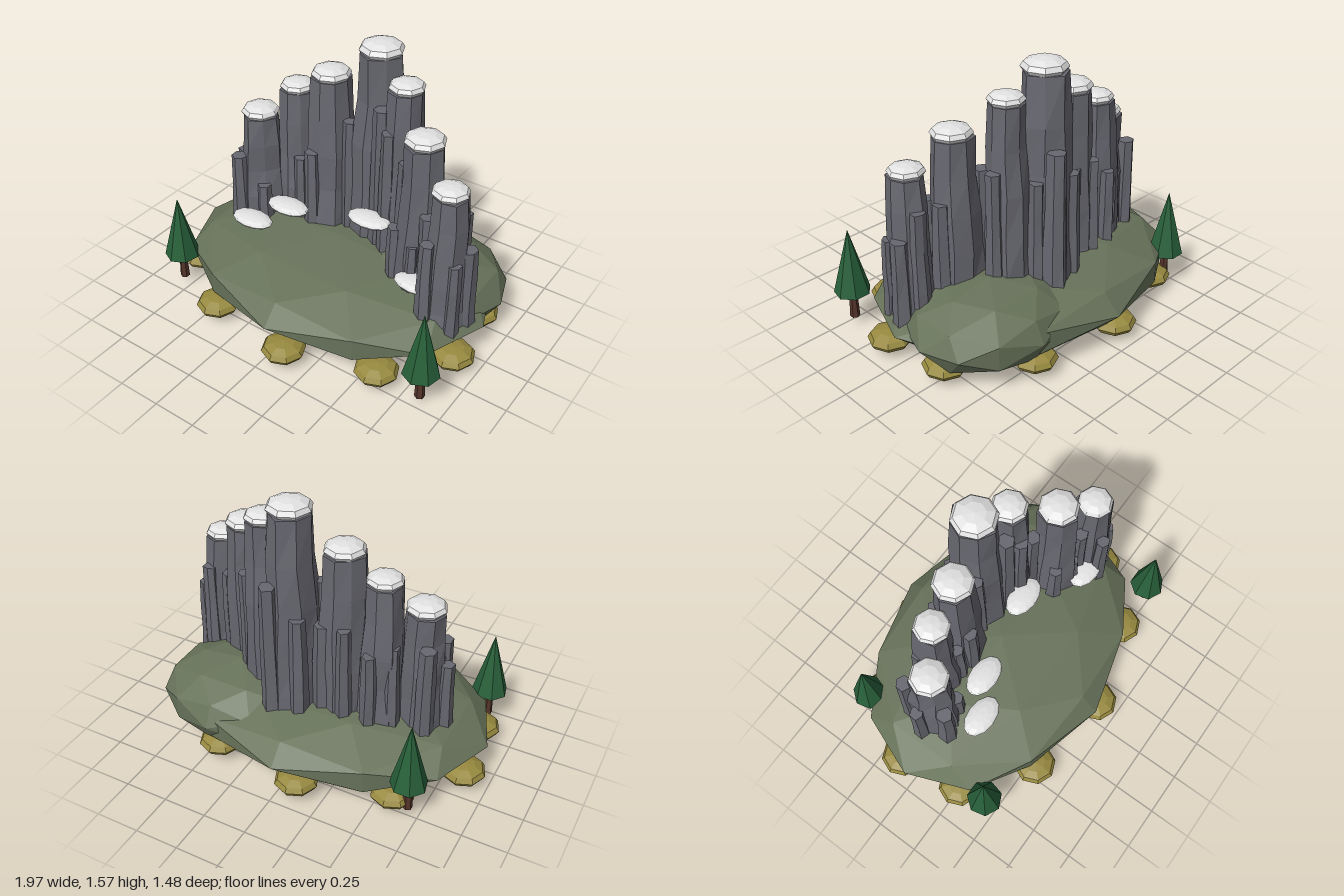
import * as THREE from 'three';

const mat = (name, color) => {
  const m = new THREE.MeshStandardMaterial({ color, flatShading: true });
  m.name = name;
  return m;
};

// Repeatable value from -1 to 1
const hash = (a, b, c) => {
  const s = Math.sin(a * 12.99 + b * 78.23 + c * 37.72) * 43758.5453;
  return 2 * (s - Math.floor(s)) - 1;
};

// Rough rock pillar: tapered prism with uneven corners and a slight sway
function pillarGeometry(rBottom, rTop, y0, y1, sides, rings, rough, seed) {
  const h = y1 - y0;
  const g = new THREE.CylinderGeometry(rTop, rBottom, h, sides, rings);
  const p = g.attributes.position;
  for (let i = 0; i < p.count; i++) {
    const x = p.getX(i), y = p.getY(i), z = p.getZ(i);
    const ring = Math.round((y / h + 0.5) * rings);
    const corner = (Math.round(Math.atan2(x, z) / (2 * Math.PI) * sides) + sides) % sides;
    const k = 1 + rough * (hash(corner, 0, seed) + 0.6 * hash(corner, ring + 1, seed));
    const sway = ring === rings ? 0 : rough * rBottom * 0.5;
    p.setXYZ(i, x * k + sway * hash(ring, 31, seed), y + (y0 + y1) / 2, z * k + sway * hash(ring, 57, seed));
  }
  g.computeVertexNormals();
  return g;
}

export function createModel() {
  const root = new THREE.Group();
  root.name = 'rockyIsland';
  const moss = mat('moss', 0x67725a);
  const rock = mat('rock', 0x686871);
  const snow = mat('snow', 0xe2e2e2);
  const shrub = mat('shrub', 0x97893f);
  const needles = mat('needles', 0x28603a);
  const bark = mat('bark', 0x56352b);

  const add = (name, geo, material, x, y, z, parent = root) => {
    const m = new THREE.Mesh(geo, material);
    m.name = name;
    m.position.set(x, y, z);
    parent.add(m);
    return m;
  };

  // Ground mounds
  const ball = new THREE.IcosahedronGeometry(1, 1);
  add('mainMound', ball, moss, 0, 0.212, -0.03).scale.set(0.95, 0.208, 0.69);
  add('sideMound', ball, moss, 0.47, 0.23, -0.23).scale.set(0.48, 0.225, 0.4);

  // Main pillars with snow caps: x, z, cap height, cap radius
  const pillars = [
    [-0.565, -0.07, 1.03, 0.11], [-0.38, -0.18, 1.2, 0.1], [-0.165, -0.2, 1.33, 0.113],
    [0.11, -0.265, 1.527, 0.124], [0.31, -0.2, 1.393, 0.1], [0.525, -0.035, 1.23, 0.112],
    [0.74, 0.065, 1.06, 0.1],
  ];
  const capGeo = new THREE.SphereGeometry(1, 8, 6);
  pillars.forEach(([x, z, y, r], i) => {
    add('pillar', pillarGeometry(r * 1.38, r * 0.95, 0.18, y - 0.02, 8, 5, 0.1, i + 1), rock, x, 0, z);
    add('snowCap', capGeo, snow, x, y, z).scale.set(r, r * 0.4, r);
  });

  // Smaller side pillars: x, z, top height, radius
  const sidePillars = [
    [-0.63, 0.06, 0.77, 0.05], [-0.7, -0.08, 0.72, 0.045], [-0.64, -0.2, 0.86, 0.05], [-0.49, 0.02, 0.6, 0.045],
    [-0.46, -0.24, 0.85, 0.045], [-0.36, -0.3, 0.8, 0.045], [-0.31, -0.1, 0.79, 0.04],
    [-0.215, -0.08, 0.87, 0.045], [-0.22, -0.31, 0.92, 0.045], [-0.08, -0.29, 0.9, 0.05],
    [-0.02, -0.17, 1.09, 0.045], [0.02, -0.38, 0.95, 0.05], [0.17, -0.41, 1.125, 0.055],
    [0.2, -0.14, 1.25, 0.05], [0.27, -0.1, 1.15, 0.045], [0.23, -0.33, 0.95, 0.045],
    [0.39, -0.1, 1.01, 0.045], [0.42, -0.22, 1.03, 0.045], [0.42, 0.05, 0.7, 0.045],
    [0.55, 0.08, 0.65, 0.04], [0.63, -0.06, 0.88, 0.05], [0.62, 0.07, 0.86, 0.045],
    [0.69, 0.18, 0.785, 0.045], [0.85, 0.02, 0.72, 0.05], [0.83, 0.13, 0.68, 0.04], [0.77, -0.05, 0.88, 0.045],
  ];
  sidePillars.forEach(([x, z, y, r], i) =>
    add('sidePillar', pillarGeometry(r * 1.2, r * 0.9, 0.2, y, 6, 3, 0.12, i + 20), rock, x, 0, z));

  // Floating snow drifts
  const driftGeo = new THREE.SphereGeometry(1, 12, 8);
  [[-0.462, 0.455, 0.17], [-0.285, 0.552, 0.06], [0.21, 0.617, -0.025], [0.62, 0.47, 0.14]].forEach(([x, y, z]) =>
    add('snowDrift', driftGeo, snow, x, y, z).scale.set(0.132, 0.03, 0.08));

  // Ring of shrubs
  for (let i = 0; i < 10; i++) {
    const a = THREE.MathUtils.degToRad(12 + i * 36);
    add('shrub', capGeo, shrub, Math.cos(a) * 0.88, 0.09, Math.sin(a) * 0.617).scale.set(0.124, 0.054, 0.124);
  }

  // Pine trees
  const trunkGeo = new THREE.CylinderGeometry(0.021, 0.028, 0.18, 6);
  const crownGeo = new THREE.ConeGeometry(0.102, 0.385, 7);
  [[-0.795, 0.43], [0.855, 0.46], [-0.69, -0.49]].forEach(([x, z]) => {
    const tree = new THREE.Group();
    tree.name = 'pineTree';
    tree.position.set(x, 0, z);
    add('trunk', trunkGeo, bark, 0, 0.145, 0, tree);
    add('crown', crownGeo, needles, 0, 0.413, 0, tree);
    root.add(tree);
  });

  return root;
}
